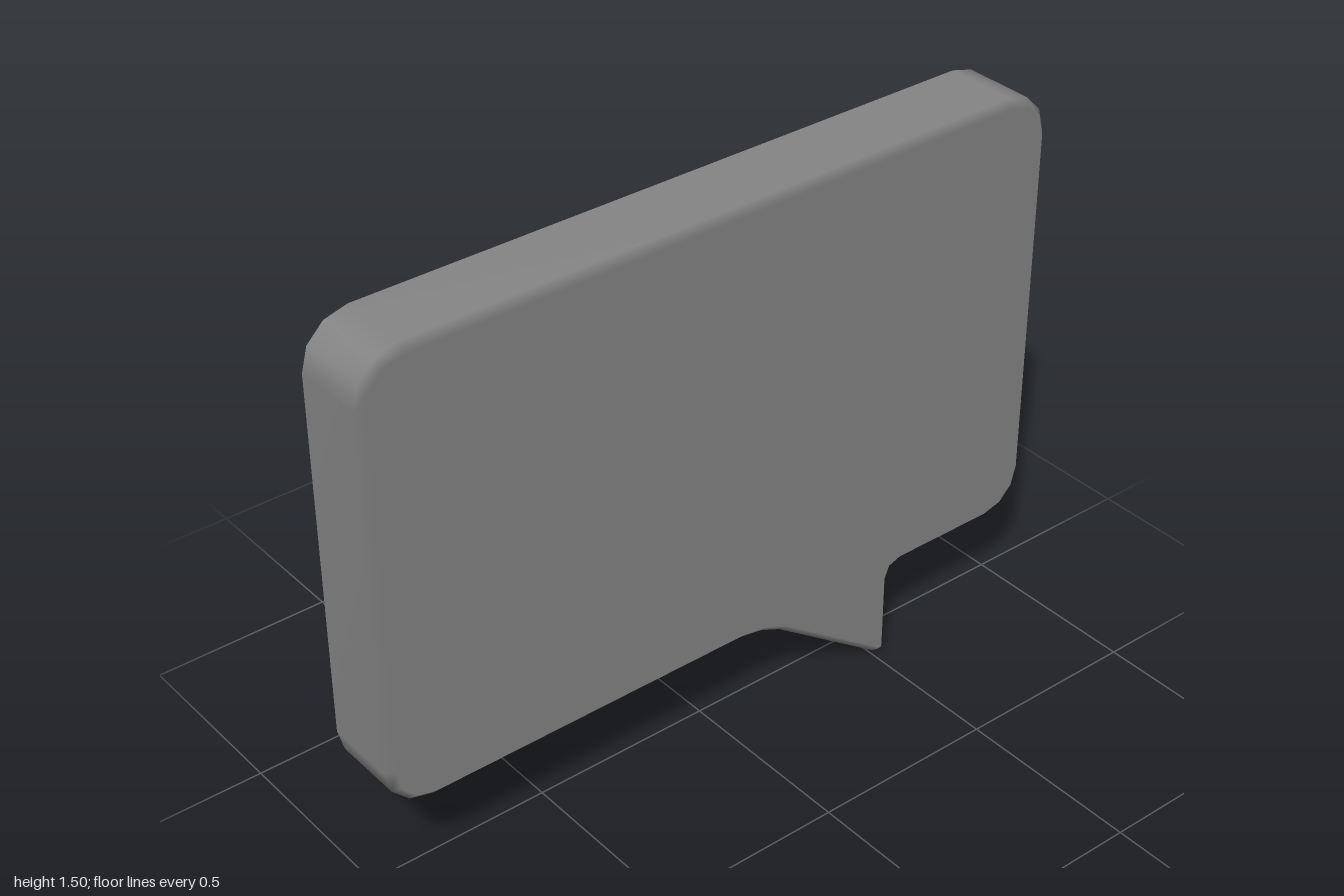
import * as THREE from 'three';
import { mergeVertices } from 'three/addons/utils/BufferGeometryUtils.js';

const HALF_DEPTH = 0.117, BEVEL = 0.02, RADIUS = 0.125;
const BOTTOM = 0.273, TOP = 1.5;

// Points of one rounded corner, a quarter turn in three steps
function corner(cx, cy, startAngle) {
  return [0, 1, 2, 3].map((i) => {
    const a = startAngle + (i * Math.PI) / 6;
    return new THREE.Vector2(cx + RADIUS * Math.cos(a), cy + RADIUS * Math.sin(a));
  });
}

function bubbleOutline() {
  const x = 1 - RADIUS, lo = BOTTOM + RADIUS, hi = TOP - RADIUS;
  // Tail, with soft joins to the bottom edge and a blunt tip
  const tail = [
    [0.05, BOTTOM], [0.12, 0.261], [0.18, 0.235],
    [0.505, 0.006], [0.525, 0], [0.54, 0.016],
    [0.54, 0.24], [0.55, 0.264], [0.575, BOTTOM],
  ].map(([px, py]) => new THREE.Vector2(px, py));
  return new THREE.Shape([
    ...tail,
    ...corner(x, lo, -Math.PI / 2),
    ...corner(x, hi, 0),
    ...corner(-x, hi, Math.PI / 2),
    ...corner(-x, lo, Math.PI),
  ]);
}

export function createModel() {
  const depth = 2 * (HALF_DEPTH - BEVEL);
  let geometry = new THREE.ExtrudeGeometry(bubbleOutline(), {
    depth, bevelThickness: BEVEL, bevelSize: BEVEL, bevelOffset: -BEVEL, bevelSegments: 1,
  });
  geometry.translate(0, 0, -depth / 2);

  // Smooth shading round the rim: faces point straight along z, walls straight outwards
  geometry.deleteAttribute('normal');
  geometry.deleteAttribute('uv');
  geometry = mergeVertices(geometry);
  geometry.computeVertexNormals();
  const { position, normal } = geometry.attributes;
  for (let i = 0; i < position.count; i++) {
    const z = position.getZ(i);
    if (Math.abs(z) > HALF_DEPTH - 0.001) normal.setXYZ(i, 0, 0, Math.sign(z));
    else normal.setZ(i, 0);
  }
  geometry.normalizeNormals();

  const bubble = new THREE.Mesh(geometry, new THREE.MeshStandardMaterial({ color: 0x858585 }));
  bubble.name = 'speechBubble';
  const group = new THREE.Group();
  group.name = 'speechBubbleModel';
  group.add(bubble);
  return group;
}
